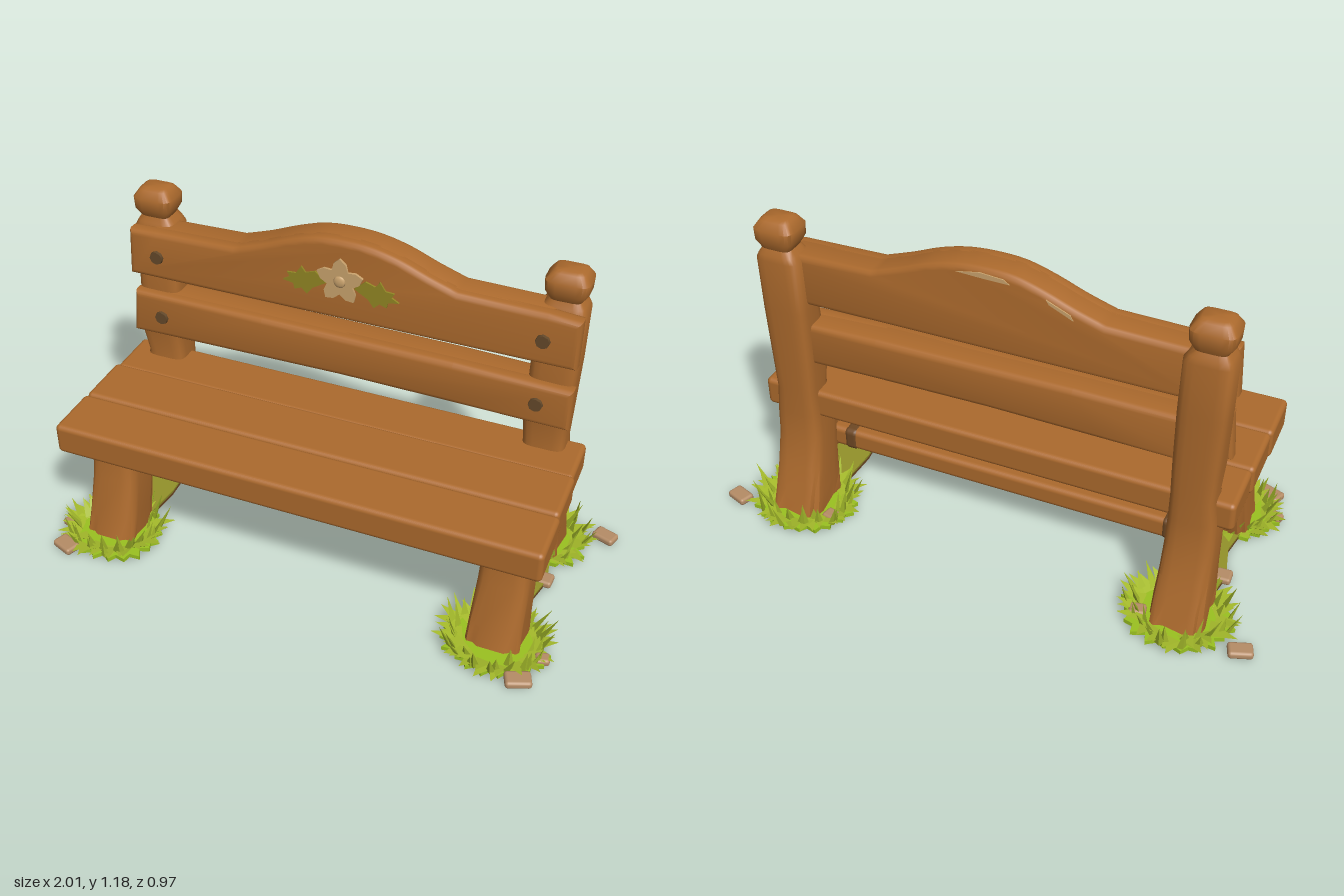
import * as THREE from 'three';
import { mergeGeometries, toCreasedNormals } from 'three/addons/utils/BufferGeometryUtils.js';
import { RoundedBoxGeometry } from 'three/addons/geometries/RoundedBoxGeometry.js';

const mat = (name, color, side = THREE.FrontSide) => {
  const m = new THREE.MeshStandardMaterial({ color, side });
  m.name = name;
  return m;
};

// Post or leg from rounded-square rings: [y, xMin, xMax, zMin, zMax, ridge]
function loft(rings, n = 20) {
  const pos = [], idx = [];
  const soft = (v) => Math.sign(v) * Math.pow(Math.abs(v), 0.42);
  for (const [y, x0, x1, z0, z1, ridge = 0] of rings) {
    for (let i = 0; i < n; i++) {
      const a = ((i + 0.5) / n) * Math.PI * 2;
      const k = 1 - (i % 3 === 0 ? ridge : 0);
      pos.push((x0 + x1) / 2 + ((x1 - x0) / 2) * soft(Math.cos(a)) * k, y,
        (z0 + z1) / 2 + ((z1 - z0) / 2) * soft(Math.sin(a)) * k);
    }
  }
  const last = rings.length - 1;
  for (let r = 0; r < last; r++) for (let i = 0; i < n; i++) {
    const p = r * n + i, q = r * n + ((i + 1) % n);
    idx.push(p, p + n, q, q, p + n, q + n);
  }
  for (const r of [0, last]) {
    const [y, x0, x1, z0, z1] = rings[r], c = pos.length / 3;
    pos.push((x0 + x1) / 2, y, (z0 + z1) / 2);
    for (let i = 0; i < n; i++) {
      const p = r * n + i, q = r * n + ((i + 1) % n);
      idx.push(c, ...(r ? [q, p] : [p, q]));
    }
  }
  const g = new THREE.BufferGeometry();
  g.setAttribute('position', new THREE.Float32BufferAttribute(pos, 3));
  g.setIndex(idx);
  return toCreasedNormals(g, 0.75);
}

// Outline extruded along z from z0 to z1, with rounded edges
function slab(points, z0, z1, bevel = 0) {
  const g = new THREE.ExtrudeGeometry(new THREE.Shape(points.map(([x, y]) => new THREE.Vector2(x, y))), {
    depth: z1 - z0 - 2 * bevel, bevelEnabled: bevel > 0, bevelThickness: bevel,
    bevelSize: bevel, bevelOffset: -bevel, bevelSegments: 3,
  });
  g.translate(0, 0, z0 + bevel);
  return toCreasedNormals(g, 0.7);
}

export function createModel() {
  const group = new THREE.Group();
  const wood = mat('wood', 0xac6a2d), darkWood = mat('dark wood', 0x6e4824), peg = mat('peg', 0x64492a);
  const grass = mat('grass', 0xa6bc2b, THREE.DoubleSide), turf = mat('turf', 0x9ac120);
  const moss = mat('moss', 0x93922a), leaf = mat('leaf', 0x928724);
  const stone = mat('stone', 0xb58c66), petal = mat('petal', 0xcba46e);

  const add = (name, geo, material, x = 0, y = 0, z = 0) => {
    const m = new THREE.Mesh(geo, material);
    m.name = name;
    m.position.set(x, y, z);
    group.add(m);
    return m;
  };
  let seed = 11;
  const rnd = () => (seed = (seed * 16807) % 2147483647) / 2147483647;

  // Seat planks: [width, height, depth, x, y, z]
  [[1.745, 0.115, 0.21, 0, 0.456, 0.271], [1.735, 0.112, 0.215, 0, 0.459, 0.06],
    [1.72, 0.108, 0.205, 0, 0.455, -0.14]].forEach(([w, h, d, x, y, z], i) =>
    add('seatPlank' + (i + 1), new RoundedBoxGeometry(w, h, d, 3, 0.018), wood, x, y, z));

  // Backrest slats: full-width front, with a thick core let in between the posts
  function slat(name, points) {
    add(name, slab(points, -0.178, -0.113, 0.02), wood);
    const core = points.map(([x, y]) => [THREE.MathUtils.clamp(x, -0.74, 0.74), y]);
    add(name + 'Core', slab(core, -0.245, -0.13, 0.02), wood);
  }
  slat('lowerBackSlat', [[-0.815, 0.63], [-0.4, 0.635], [0, 0.64], [0.4, 0.635], [0.81, 0.628], [0.81, 0.785],
    [0.4, 0.795], [-0.3, 0.8], [-0.8, 0.8]]);
  const arch = new THREE.SplineCurve([[0.4, 1.065], [0.3, 1.1], [0.2, 1.14], [0.1, 1.165], [0, 1.172], [-0.1, 1.165],
    [-0.2, 1.135], [-0.3, 1.095], [-0.4, 1.062]].map((p) => new THREE.Vector2(...p)));
  slat('upperBackSlat', [[-0.81, 0.872], [0.81, 0.87], [0.81, 1.05], [0.7, 1.06],
    ...arch.getPoints(24).map((p) => [p.x, p.y]), [-0.7, 1.055], [-0.8, 1.05]]);

  // Pale worn streaks on the back of the arch
  add('wornStreak', slab([[-0.09, 1.138], [0.01, 1.14], [0.09, 1.144], [0.01, 1.158], [-0.07, 1.152]],
    -0.248, -0.24), petal);
  add('wornStreak', slab([[-0.3, 1.062], [-0.22, 1.1], [-0.21, 1.115], [-0.29, 1.08]], -0.248, -0.24), petal);

  // Long rail under the seat
  add('stretcher', new RoundedBoxGeometry(1.4, 0.084, 0.105, 3, 0.02), wood, 0, 0.208, -0.055);

  // Grass clump: turf base, flat outer leaves and upright blades
  function clump(cx, cz, rx, rz) {
    const rim = [];
    for (let i = 0; i < 40; i++) {
      const a = (i / 40) * Math.PI * 2, k = (i % 2 ? 0.86 : 1) * (0.88 + 0.12 * rnd());
      rim.push([Math.cos(a) * rx * k, Math.sin(a) * rz * k]);
    }
    const base = slab(rim, 0, 0.016);
    base.rotateX(-Math.PI / 2);
    add('turf', base, turf, cx, 0.005, cz);
    const blades = [];
    for (let i = 0; i < 70; i++) {
      const flat = i % 2, a = i * 2.4, k = flat ? 0.55 + 0.2 * rnd() : 0.62 + 0.25 * rnd();
      const h = flat ? 0.07 + 0.02 * rnd() : 0.055 + 0.065 * rnd();
      const g = new THREE.ConeGeometry(flat ? 0.032 : 0.02, h, 3, 1, true);
      g.translate(0, h / 2, 0);
      g.scale(1, 1, 0.4);
      g.rotateX(flat ? 1.15 + 0.3 * rnd() : 0.1 + 0.45 * rnd());
      g.rotateY(Math.PI / 2 - a + (rnd() - 0.5) * 0.8);
      g.translate(cx + Math.cos(a) * rx * k, 0.018, cz + Math.sin(a) * rz * k);
      blades.push(g.toNonIndexed());
    }
    const all = mergeGeometries(blades);
    all.computeVertexNormals();
    add('grassBlades', all, grass);
  }

  for (const s of [1, -1]) {
    const side = (rings) => rings.map(([y, a, b, ...r]) => (s > 0 ? [y, a, b, ...r] : [y, -b, -a, ...r]));

    // Rear post with flared foot, neck and knob
    add('rearPost', loft(side([
      [0.01, 0.63, 0.825, -0.375, -0.15, 0.14], [0.1, 0.632, 0.82, -0.345, -0.145, 0.09],
      [0.2, 0.638, 0.815, -0.315, -0.135, 0.04], [0.32, 0.642, 0.812, -0.286, -0.12],
      [0.42, 0.645, 0.808, -0.282, -0.12], [0.52, 0.648, 0.795, -0.282, -0.155], [0.62, 0.645, 0.8, -0.284, -0.13],
      [0.85, 0.645, 0.808, -0.286, -0.155], [1.04, 0.65, 0.81, -0.288, -0.16],
      [1.06, 0.665, 0.8, -0.284, -0.17], [1.08, 0.68, 0.787, -0.274, -0.178],
      [1.11, 0.663, 0.806, -0.287, -0.162], [1.15, 0.66, 0.808, -0.288, -0.16],
      [1.178, 0.68, 0.788, -0.268, -0.178], [1.185, 0.69, 0.775, -0.255, -0.19],
    ])), wood);

    // Slanted front leg
    add('frontLeg', loft(side([
      [0.01, 0.628, 0.828, 0.165, 0.352, 0.1], [0.1, 0.632, 0.822, 0.14, 0.326, 0.06],
      [0.25, 0.64, 0.816, 0.095, 0.287], [0.33, 0.643, 0.812, 0.07, 0.277], [0.43, 0.645, 0.81, 0.04, 0.268],
    ])), wood);

    // Side panel between the legs, with moss smear, peg and rail collar
    const panel = slab([[-0.18, 0.15], [0, 0.14], [0.17, 0.15], [0.1, 0.41], [-0.17, 0.41]].map(([z, y]) => [-z, y]),
      -0.035, 0.035, 0.012);
    panel.rotateY(Math.PI / 2);
    add('sidePanel', panel, wood, s * 0.72);
    add('mossSmear', new THREE.BoxGeometry(0.006, 0.012, 0.05), moss, s * 0.756, 0.237, 0.045);
    add('railCollar', new RoundedBoxGeometry(0.06, 0.088, 0.111, 2, 0.02), darkWood, s * 0.615, 0.208, -0.055);
    const pegAcross = (name, r, len, x, y, z) =>
      (add(name, new THREE.CylinderGeometry(r, r, len, 8), peg, s * x, y, z).rotation.z = Math.PI / 2);
    pegAcross('panelPeg', 0.019, 0.012, 0.754, 0.22, -0.055);
    pegAcross('legPeg', 0.033, 0.205, 0.729, 0.335, 0.205);

    // Pegs through the slats
    for (const y of [0.715, 0.963])
      add('slatPeg', new THREE.CylinderGeometry(0.024, 0.026, 0.02, 8), peg, s * 0.693, y, -0.112).rotation.x = Math.PI / 2;

    // Ground cover: grass, and a strip of mossy soil between the feet
    clump(s * 0.72, -0.275, 0.205, 0.185);
    clump(s * 0.73, 0.295, 0.195, 0.17);
    const strip = [[0.64, -0.2], [0.79, -0.22], [0.82, -0.05], [0.79, 0.08], [0.81, 0.2], [0.65, 0.2], [0.63, 0.03]]
      .map(([x, z]) => [s * x, -z]);
    for (const [name, y0, y1, m] of [['soilStrip', 0.008, 0.019, darkWood], ['mossStrip', 0.019, 0.027, moss]]) {
      const g = slab(strip, y0, y1);
      g.rotateX(-Math.PI / 2);
      add(name, g, m);
    }

    // Stones: [x, z, width, depth]
    for (const [x, z, w, d] of [[0.957, -0.358, 0.085, 0.058], [0.85, 0.437, 0.09, 0.062],
      [0.81, -0.05, 0.06, 0.06], [0.59, -0.32, 0.06, 0.05], [0.9, 0.32, 0.05, 0.045]])
      add('stone', new RoundedBoxGeometry(w, 0.028, d, 2, 0.011), stone, s * x, 0.019, z).rotation.y = s * x * z;

    // Jagged leaves beside the flower
    const leafShape = [[0.05, 1.01], [0.1, 0.98], [0.12, 0.952], [0.14, 0.972], [0.165, 0.962], [0.17, 0.983],
      [0.208, 0.99], [0.182, 1.005], [0.192, 1.022], [0.16, 1.024], [0.14, 1.055], [0.125, 1.033], [0.09, 1.045]];
    add('leaf', slab(leafShape.map(([x, y]) => [s * x, y]), -0.114, -0.106), leaf);
  }

  // Five-pointed flower with a raised centre
  const star = [];
  for (let i = 0; i < 20; i++) {
    const a = Math.PI / 2 + (i / 20) * Math.PI * 2, r = [0.086, 0.07, 0.048, 0.07][i % 4];
    star.push([Math.cos(a) * r, Math.sin(a) * r]);
  }
  add('flower', slab(star, -0.11, -0.101), petal, 0, 1.028);
  const heart = new THREE.SphereGeometry(0.022, 10, 6);
  heart.scale(1, 1, 0.35);
  add('flowerCentre', heart, petal, 0, 1.028, -0.101);

  return group;
}
